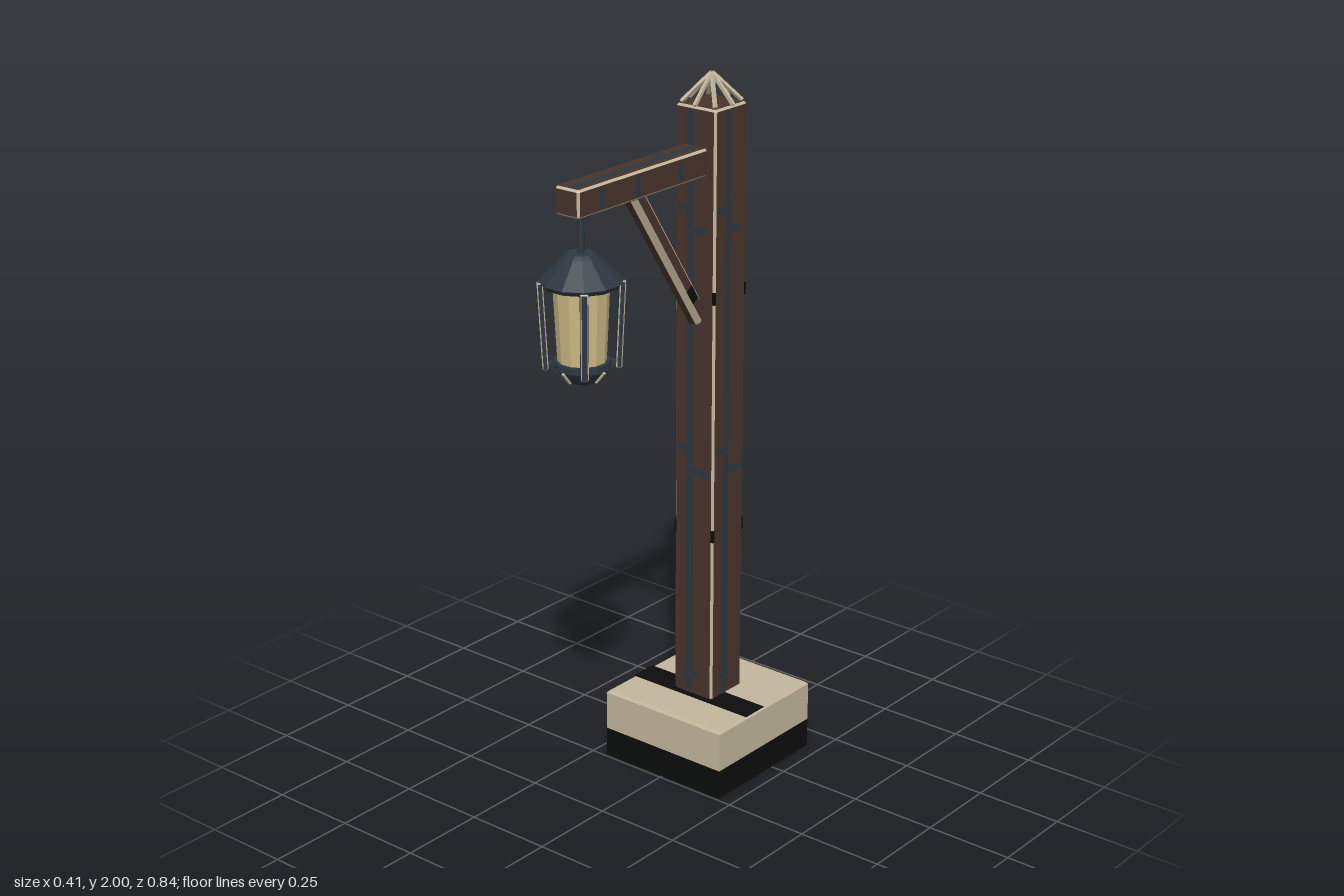
import * as THREE from 'three';
import { ConvexGeometry } from 'three/addons/geometries/ConvexGeometry.js';

const mat = (name, color, side = THREE.FrontSide) => {
  const m = new THREE.MeshStandardMaterial({ color, side });
  m.name = name;
  return m;
};

export function createModel() {
  const model = new THREE.Group();
  model.name = 'lanternPost';
  const stone = mat('pale stone', 0xc2b69c, THREE.DoubleSide);
  const black = mat('black', 0x0b0d0c, THREE.DoubleSide);
  const wood = mat('dark wood', 0x48342b);
  const slate = mat('slate blue', 0x2d3740);
  const glass = mat('warm glass', 0xcdb984);

  const add = (parent, name, geometry, material, x = 0, y = 0, z = 0) => {
    const mesh = new THREE.Mesh(geometry, material);
    mesh.name = name;
    mesh.position.set(x, y, z);
    parent.add(mesh);
    return mesh;
  };
  const box = (parent, name, material, size, pos = [0, 0, 0]) =>
    add(parent, name, new THREE.BoxGeometry(...size), material, ...pos);

  // Faceted solid of revolution, profile from bottom to top
  const facetedLathe = (profile, sides) => {
    const points = profile.map(([r, y]) => new THREE.Vector2(r, y));
    const g = new THREE.LatheGeometry(points, sides, Math.PI / sides).toNonIndexed();
    g.computeVertexNormals();
    return g;
  };

  // Beam with coloured faces and pale chamfered edges
  const trimmedBeam = (parent, name, material, [w, h, d], bevel) => {
    const group = new THREE.Group();
    group.name = name;
    const points = [];
    for (const x of [-1, 1]) for (const y of [-1, 1]) for (const z of [-1, 1]) {
      for (let axis = 0; axis < 3; axis++) {
        const inset = [0, 1, 2].map(i => (i === axis ? 0 : bevel));
        points.push(new THREE.Vector3(
          x * (w / 2 - inset[0]), y * (h / 2 - inset[1]), z * (d / 2 - inset[2])));
      }
    }
    add(group, 'chamferedEdges', new ConvexGeometry(points), stone);
    const e = 0.002, b = 2 * bevel;
    box(group, 'sideFaces', material, [w + e, h - b, d - b]);
    box(group, 'endFaces', material, [w - b, h + e, d - b]);
    box(group, 'frontFaces', material, [w - b, h - b, d + e]);
    parent.add(group);
    return group;
  };

  // Hollow base block, open underneath
  const base = new THREE.Group();
  base.name = 'base';
  base.position.z = -0.215;
  model.add(base);
  const R = 0.205 * Math.SQRT2;
  add(base, 'baseBand', facetedLathe([[R, 0], [R, 0.085]], 4), black);
  add(base, 'baseBlock', facetedLathe(
    [[R, 0.085], [R, 0.198], [R - 0.01, 0.205], [0.001, 0.205]], 4), stone);
  box(base, 'baseTopStripe', black, [0.406, 0.003, 0.08], [0, 0.206, 0.044]);

  // Upright post
  const post = trimmedBeam(model, 'post', wood, [0.134, 1.71, 0.134], 0.006);
  post.position.set(0, 1.06, -0.213);
  for (let i = 0; i < 4; i++) {
    const face = new THREE.Group();
    face.name = 'postFaceDetails';
    face.rotation.y = i * Math.PI / 2;
    post.add(face);
    // Slate grain streak and stains
    box(face, 'grainStreak', slate, [0.024, 1.69, 0.002], [-0.013, 0, 0.068]);
    for (const [x, y, w] of [[-0.01, 0.27, 0.05], [-0.035, 0.955, 0.05],
      [0.025, 0.89, 0.07], [-0.03, 1.64, 0.05], [0.02, 1.58, 0.04]]) {
      box(face, 'grainStain', slate, [w, 0.02, 0.002], [x, y - 1.06, 0.0681]);
    }
    // Black notches on the corner edge
    for (const y of [0.71, 1.4]) {
      box(face, 'cornerNotch', black, [0.008, 0.035, 0.008], [0.064, y - 1.06, 0.064]);
    }
  }

  // Open finial of eight sloping rods
  const finial = new THREE.Group();
  finial.name = 'finial';
  finial.position.set(0, 1.915, -0.213);
  model.add(finial);
  const up = new THREE.Vector3(0, 1, 0);
  for (let i = 0; i < 8; i++) {
    const a = i * Math.PI / 4, r = i % 2 ? 0.08 : 0.072;
    const foot = new THREE.Vector3(Math.sin(a) * r, 0.003, Math.cos(a) * r);
    const run = new THREE.Vector3(0, 0.08, 0).sub(foot);
    const rod = box(finial, 'finialRod', stone, [0.009, run.length(), 0.009]);
    rod.position.copy(foot).addScaledVector(run, 0.5);
    rod.quaternion.setFromUnitVectors(up, run.clone().normalize());
  }
  add(finial, 'finialTip', new THREE.CylinderGeometry(0.004, 0.007, 0.01, 8), slate, 0, 0.08, 0);

  // Horizontal arm
  const arm = trimmedBeam(model, 'arm', wood, [0.08, 0.075, 0.515], 0.006);
  arm.position.set(0, 1.772, 0.108);
  box(arm, 'armStreak', slate, [0.02, 0.002, 0.5], [0.008, 0.0381, 0]);
  box(arm, 'armStain', slate, [0.05, 0.002, 0.04], [-0.008, 0.0382, -0.12]);
  for (const z of [0.17, 0.03, -0.14]) {
    box(arm, 'armSideStain', slate, [0.0835, 0.05, 0.018], [0, 0, z]);
  }

  // Diagonal brace
  const brace = trimmedBeam(model, 'brace', wood, [0.05, 0.525, 0.052], 0.014);
  brace.position.set(0, 1.541, -0.021);
  brace.rotation.x = Math.atan2(0.253, 0.38);
  box(brace, 'braceStain', black, [0.053, 0.05, 0.025], [0, -0.15, 0]);

  // Hanging lantern
  const lantern = new THREE.Group();
  lantern.name = 'lantern';
  lantern.position.z = 0.313;
  model.add(lantern);
  add(lantern, 'hanger', new THREE.CylinderGeometry(0.009, 0.009, 0.12, 8), slate, 0, 1.68, 0);
  add(lantern, 'roof', facetedLathe(
    [[0.001, 1.545], [0.1, 1.545], [0.11, 1.558], [0.045, 1.622], [0.035, 1.63], [0.001, 1.63]], 12), slate);
  add(lantern, 'glassBody', facetedLathe([[0.063, 1.33], [0.074, 1.55]], 12), glass);
  add(lantern, 'bowl', facetedLathe(
    [[0.001, 1.29], [0.045, 1.29], [0.075, 1.325], [0.075, 1.343], [0.001, 1.343]], 12), slate);
  for (let i = 0; i < 4; i++) {
    const corner = new THREE.Group();
    corner.name = 'lanternCorner';
    corner.rotation.y = Math.PI / 4 + i * Math.PI / 2;
    lantern.add(corner);
    const bar = trimmedBeam(corner, 'cornerBar', slate, [0.02, 0.235, 0.016], 0.003);
    bar.position.set(0, 1.437, 0.1);
    bar.rotation.x = 0.05;
    box(corner, 'barFoot', slate, [0.014, 0.014, 0.04], [0, 1.335, 0.082]);
  }
  // Ribs under the bowl
  for (let i = 0; i < 8; i++) {
    const arc = new THREE.Group();
    arc.name = 'bowlRib';
    arc.rotation.y = i * Math.PI / 4;
    lantern.add(arc);
    const rib = box(arc, 'rib', i % 2 ? slate : stone, [0.008, 0.042, 0.006], [0, 1.308, 0.061]);
    rib.rotation.x = 0.7;
  }
  return model;
}
